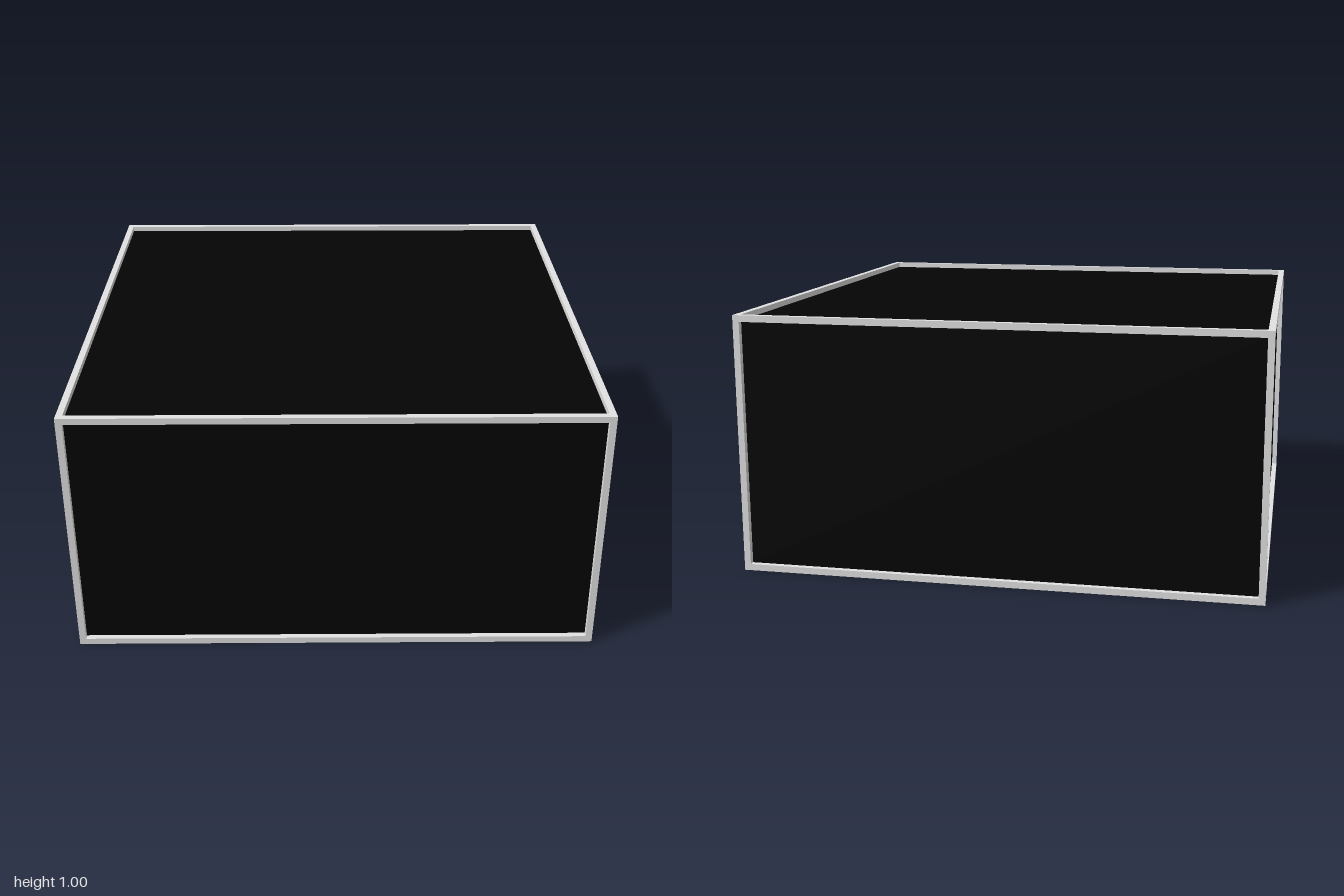
import * as THREE from 'three';

const T = 0.025;       // bar thickness
const P = 0.006;       // panel thickness
const M = 1 - T;       // mid-plane of the walls and roof
const OUT = 1 - T / 2; // centre of the outer bars
const INN = M - T / 2; // centre of the inner bars
const D = 0.0225;      // door bar width
const DOOR = { z0: 0.25, z1: 0.75, y: 0.7525 }; // clear opening

export function createModel() {
  const model = new THREE.Group();
  const frameMat = new THREE.MeshStandardMaterial({ color: 0xe2e2e2 });
  frameMat.name = 'light grey frame';
  const panelMat = new THREE.MeshStandardMaterial({ color: 0x040404 });
  panelMat.name = 'black panel';

  const box = (name, mat, size, pos) => {
    const mesh = new THREE.Mesh(new THREE.BoxGeometry(...size), mat);
    mesh.name = name;
    mesh.position.set(...pos);
    model.add(mesh);
  };
  const bar = (name, size, pos) => box(name, frameMat, size, pos);

  // Corner posts and roof rails: one bar outside and one inside each wall corner
  for (const [label, c] of [['outer', OUT], ['inner', INN]]) {
    const reach = c - T / 2; // free length between posts, from the middle
    const top = c + T / 2;
    for (const s of [-1, 1]) {
      for (const t of [-1, 1]) bar(label + 'CornerPost', [T, top, T], [s * c, top / 2, t * c]);
      bar(label + 'RoofRailAcross', [2 * reach, T, T], [0, c, s * c]);
      bar(label + 'RoofRailAlong', [T, T, 2 * reach], [s * c, c, 0]);
    }
  }

  // Floor rails, as deep as both bars, broken at the doorway
  const inside = M - T;
  for (const s of [-1, 1]) bar('floorRailAcross', [2 * M, T, 2 * T], [0, T / 2, s * M]);
  const railAlong = (x, a, b) => bar('floorRailAlong', [2 * T, T, b - a], [x, T / 2, (a + b) / 2]);
  railAlong(-M, -inside, inside);
  railAlong(M, -inside, DOOR.z0 - D);
  railAlong(M, DOOR.z1 + D, inside);

  // Doorway frame
  const doorTop = DOOR.y + D;
  for (const z of [DOOR.z0 - D / 2, DOOR.z1 + D / 2]) {
    bar('doorPost', [2 * T, doorTop, D], [M, doorTop / 2, z]);
  }
  bar('doorLintel', [2 * T, D, DOOR.z1 - DOOR.z0], [M, DOOR.y + D / 2, (DOOR.z0 + DOOR.z1) / 2]);

  // Plain panels, set in the middle of the bars
  const rise = M - T, midY = (M + T) / 2;
  for (const s of [-1, 1]) box(s > 0 ? 'frontPanel' : 'backPanel', panelMat, [2 * M, rise, P], [0, midY, s * M]);
  box('rightPanel', panelMat, [P, rise, 2 * M], [-M, midY, 0]);
  box('roofPanel', panelMat, [2 * M, P, 2 * M], [0, M, 0]);

  // Door-side panel with its notch, drawn in (-z, y) and turned to face +x
  const [n, f] = [DOOR.z0 - D / 2, DOOR.z1 + D / 2];
  const head = DOOR.y + D / 2;
  const shape = new THREE.Shape([
    [-M, T], [-f, T], [-f, head], [-n, head], [-n, T], [M, T], [M, M], [-M, M],
  ].map(([x, y]) => new THREE.Vector2(x, y)));
  const side = new THREE.Mesh(
    new THREE.ExtrudeGeometry(shape, { depth: P, bevelEnabled: false }), panelMat);
  side.name = 'doorSidePanel';
  side.rotation.y = Math.PI / 2;
  side.position.x = M - P / 2;
  model.add(side);

  return model;
}
